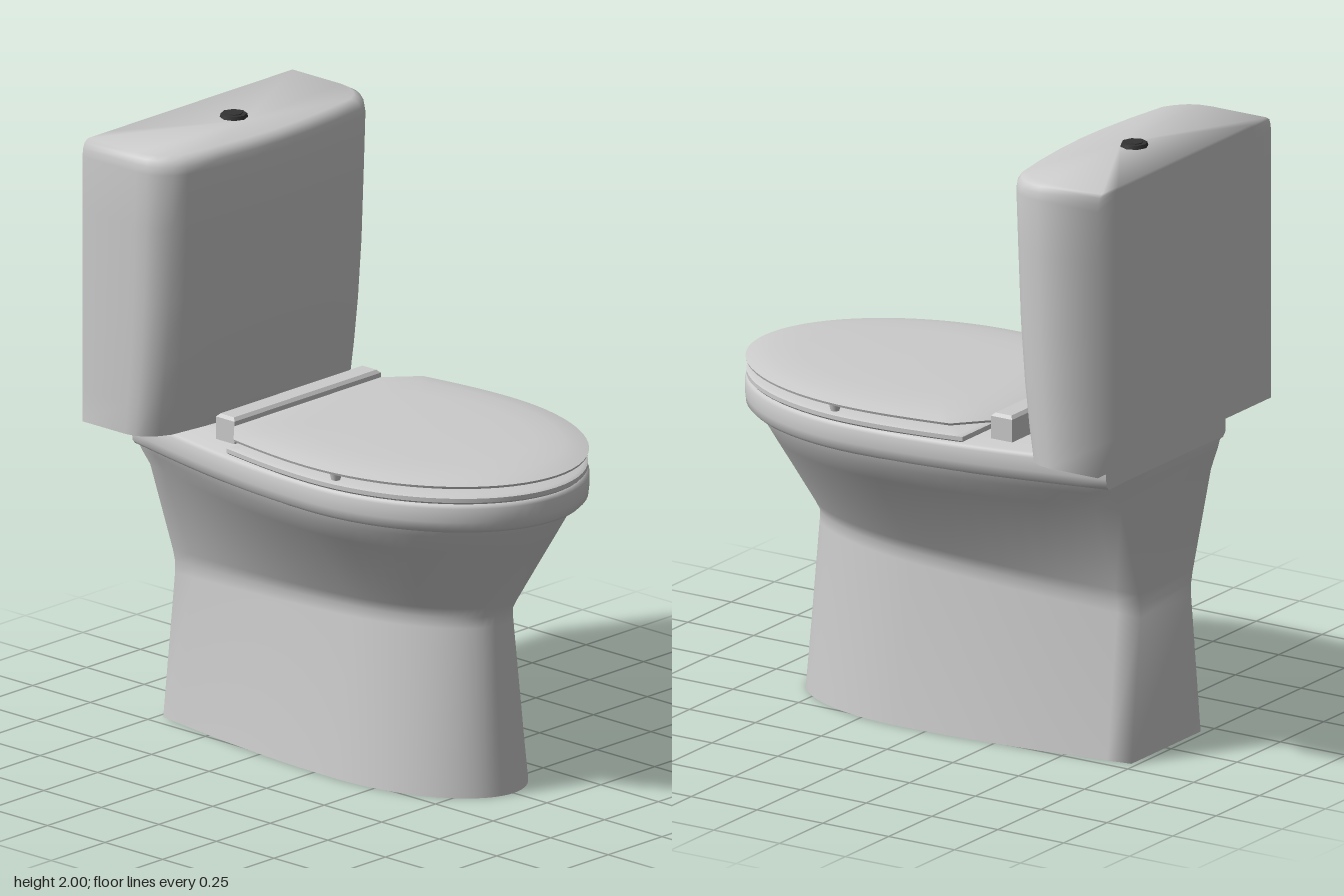
import * as THREE from 'three';
import { toCreasedNormals } from 'three/addons/utils/BufferGeometryUtils.js';

const grey = new THREE.MeshStandardMaterial({ color: 0xcccccc });
const greyOpen = new THREE.MeshStandardMaterial({ color: 0xcccccc, side: THREE.DoubleSide });
const dark = new THREE.MeshStandardMaterial({ color: 0x333333 });

// Mirror a half outline [x, z >= 0], listed from back to front, into a closed ring
function mirror(half) {
  const back = half.filter(p => p[1] > 1e-6).reverse().map(([x, z]) => [x, -z]);
  return [...half, ...back];
}

// Half outline: widens from the back edge, then closes in a half ellipse
function bowlHalf(xb, xc, xf, wb, wm) {
  const pts = [];
  for (let i = 0; i < 10; i++) {
    const t = i / 10;
    pts.push([xb + (xc - xb) * t, wb + (wm - wb) * Math.sin(t * Math.PI / 2)]);
  }
  for (let i = 0; i <= 18; i++) {
    const a = (i / 18) * Math.PI / 2;
    pts.push([xc + (xf - xc) * Math.sin(a), i === 18 ? 0 : wm * Math.cos(a)]);
  }
  return pts;
}

// Skin a stack of rings of [x, y, z]; optional flat caps
function loft(rings, { capBottom = true, capTop = true, closed = false, crease = 0.7 } = {}) {
  const n = rings[0].length, pos = rings.flat(2), idx = [];
  const count = rings.length;
  for (let r = 0; r < (closed ? count : count - 1); r++) {
    for (let j = 0; j < n; j++) {
      const k = (j + 1) % n, lo = r * n, hi = ((r + 1) % count) * n;
      idx.push(lo + j, lo + k, hi + k, lo + j, hi + k, hi + j);
    }
  }
  const cap = (r, up) => {
    const c = pos.length / 3, ring = rings[r];
    for (let a = 0; a < 3; a++) pos.push(ring.reduce((s, p) => s + p[a], 0) / n);
    for (let j = 0; j < n; j++) {
      const k = (j + 1) % n;
      if (up) idx.push(c, r * n + j, r * n + k);
      else idx.push(c, r * n + k, r * n + j);
    }
  };
  if (capBottom) cap(0, false);
  if (capTop) cap(count - 1, true);
  const g = new THREE.BufferGeometry();
  g.setAttribute('position', new THREE.Float32BufferAttribute(pos, 3));
  g.setIndex(idx);
  return toCreasedNormals(g, crease);
}

const atHeight = (half, y) => mirror(half).map(([x, z]) => [x, y, z]);

export function createModel() {
  const model = new THREE.Group();
  const add = (name, geometry, x = 0, y = 0, z = 0, material = grey) => {
    const mesh = new THREE.Mesh(geometry, material);
    mesh.name = name;
    mesh.position.set(x, y, z);
    model.add(mesh);
  };

  // Pedestal, open underneath: [y at back, y at front, front x, back half width, half width]
  const pedestal = [
    [0, 0, 0.605, 0.2, 0.28],
    [0.47, 0.555, 0.565, 0.145, 0.205],
    [0.51, 0.59, 0.565, 0.145, 0.203],
    [0.55, 0.625, 0.583, 0.155, 0.222],
    [0.86, 0.86, 0.705, 0.26, 0.41],
    [0.92, 0.92, 0.737, 0.3, 0.45],
    [0.95, 0.95, 0.748, 0.315, 0.46],
  ].map(([yb, yf, xf, wb, wm]) =>
    mirror(bowlHalf(-0.73, 0.1, xf, wb, wm))
      .map(([x, z]) => [x, yb + (yf - yb) * (x + 0.73) / (xf + 0.73), z]));
  add('pedestal', loft(pedestal, { capBottom: false, capTop: false, crease: 1.8 }), 0, 0, 0, greyOpen);

  // Trap inside the hollow pedestal: [y, back x, front x, half width]
  const trap = [[0.14, -0.62, -0.06, 0.08], [0.2, -0.64, -0.02, 0.1], [0.5, -0.66, 0.1, 0.11]]
    .map(([y, xb, xf, w]) =>
      atHeight([[xb, w - 0.03], [xb + 0.04, w], [xf - 0.04, w], [xf, w - 0.03]], y));
  add('trap', loft(trap));

  // Rim with a rounded underside: [y, inset]
  const rim = [[0.943, 0.04], [0.948, 0.015], [0.96, 0.003], [0.985, 0], [1.03, 0], [1.04, 0.005], [1.045, 0.014]]
    .map(([y, d]) => atHeight(bowlHalf(-0.73, 0.15, 0.797 - d, 0.345 - d, 0.475 - d), y));
  add('rim', loft(rim));

  // Seat ring: outer wall up, inner wall down
  const seatRing = (d, y) => atHeight(bowlHalf(-0.24 + d, 0.15, 0.793 - d, 0.43 - d, 0.47 - d), y);
  add('seat', loft([
    seatRing(0.006, 1.044), seatRing(0, 1.05), seatRing(0, 1.064), seatRing(0.012, 1.07),
    seatRing(0.14, 1.07), seatRing(0.15, 1.044),
  ], { capBottom: false, capTop: false, closed: true }));

  // Lid with cut back corners and a sloping edge: [y, inset]
  const lid = [[1.09, 0.025], [1.097, 0.003], [1.105, 0], [1.113, 0.03], [1.122, 0.08], [1.127, 0.18]]
    .map(([y, d]) => atHeight([
      [-0.29 + d, 0.34 - d * 0.8],
      ...bowlHalf(-0.2 + d * 0.8, 0.15, 0.795 - d, 0.44 - d, 0.475 - d),
    ], y));
  add('lid', loft(lid));

  // Bumpers between seat and lid
  for (const z of [0.435, -0.435]) {
    add('lidBumper', new THREE.CylinderGeometry(0.02, 0.014, 0.025, 8), 0.24, 1.081, z);
  }

  // Hinge bar with chamfered upper edges
  const hinge = [[1.04, 0], [1.12, 0], [1.13, 0.01]].map(([y, d]) =>
    atHeight([[-0.37 + d, 0.34 - d], [-0.29 - d, 0.34 - d]], y));
  add('hingeBar', loft(hinge));

  // Tank: flat back, bowed front that leans in towards the bottom: [y, depth scale, width scale]
  const tankHalf = [[-0.8, 0.4], [-0.8, 0.5], [-0.57, 0.5], [-0.525, 0.493], [-0.49, 0.478],
    [-0.455, 0.445], [-0.43, 0.405], [-0.41, 0.27], [-0.397, 0.13], [-0.392, 0]];
  const tank = [
    [1.045, 0.81, 1], [1.15, 0.855, 1], [1.3, 0.905, 1], [1.5, 0.95, 1], [1.75, 0.98, 1],
    [1.93, 1, 1], [1.955, 0.99, 0.995], [1.975, 0.96, 0.98], [1.985, 0.91, 0.95],
  ].map(([y, s, w]) =>
    atHeight(tankHalf.map(([x, z]) => [-0.8 + (x + 0.8) * s, z * w]), y));
  add('tank', loft(tank, { capBottom: false, crease: 1.6 }));
  add('tankBottom', loft([tank[0]], { capTop: false }));

  // Flush button: collar and raised centre
  add('flushButtonCollar', new THREE.CylinderGeometry(0.042, 0.046, 0.014, 8), -0.61, 1.99, 0, dark);
  add('flushButton', new THREE.CylinderGeometry(0.028, 0.03, 0.012, 8), -0.61, 1.994, 0, dark);

  return model;
}
